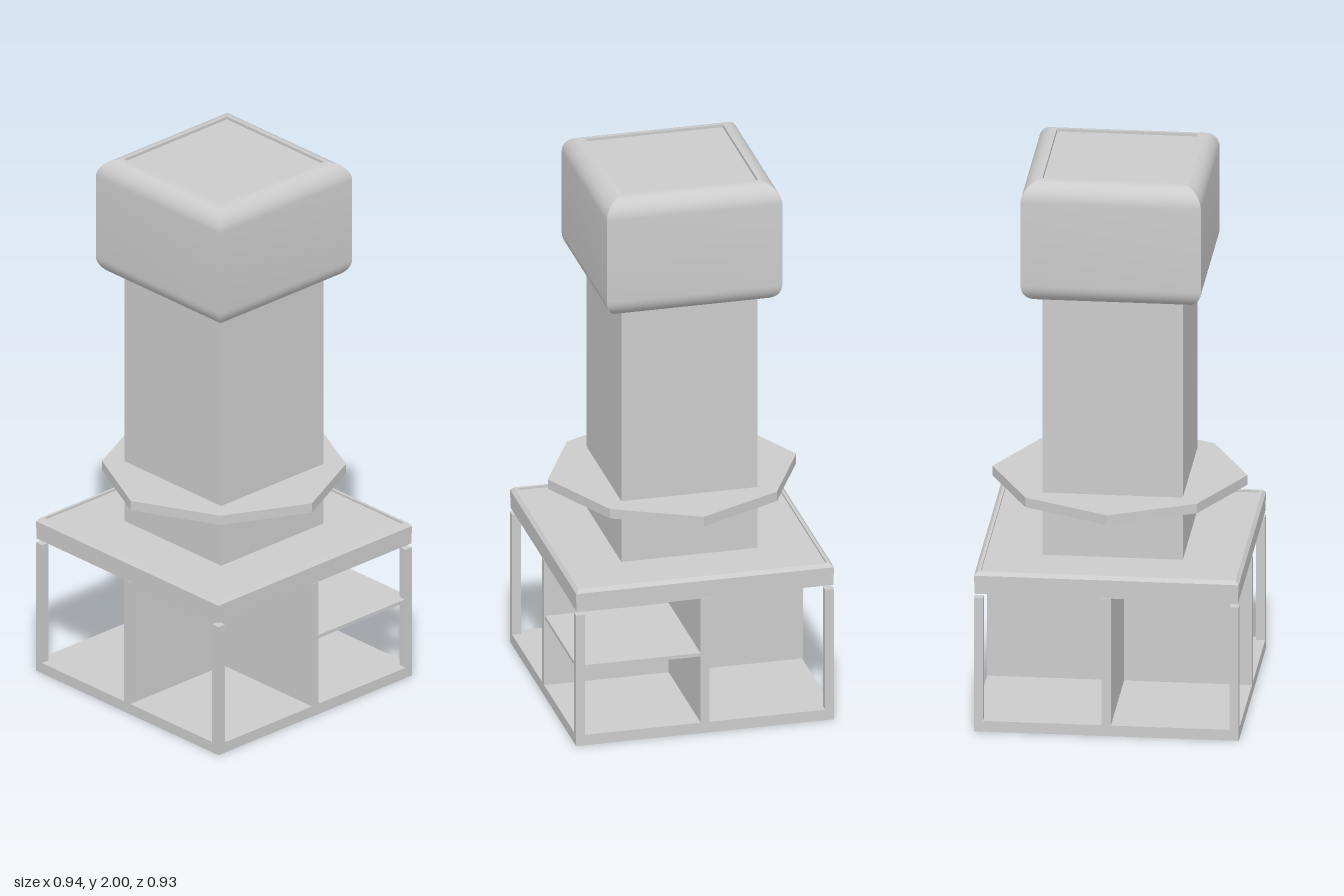
import * as THREE from 'three';
import { toCreasedNormals } from 'three/addons/utils/BufferGeometryUtils.js';

export function createModel() {
  const group = new THREE.Group();
  const mat = new THREE.MeshStandardMaterial({ color: 0xcccccc });

  const add = (name, geometry) => {
    const mesh = new THREE.Mesh(geometry, mat);
    mesh.name = name;
    group.add(mesh);
    return mesh;
  };

  // Box given by its limits on each axis
  const box = (name, x0, x1, y0, y1, z0, z1) =>
    add(name, new THREE.BoxGeometry(x1 - x0, y1 - y0, z1 - z0))
      .position.set((x0 + x1) / 2, (y0 + y1) / 2, (z0 + z1) / 2);

  // Square loft with mitred corners from [half width, height] points, bottom to top
  const squareLoft = (name, profile) => {
    const points = profile.map(([h, y]) => new THREE.Vector2(h * Math.SQRT2, y));
    const lathe = new THREE.LatheGeometry(points, 4, Math.PI / 4);
    lathe.deleteAttribute('uv');
    lathe.deleteAttribute('normal');
    return add(name, toCreasedNormals(lathe, 0.25));
  };

  const W = 0.467; // half width of the base
  const P = 0.032; // post thickness
  const T = 0.016; // half thickness of the dividers

  // Base cabinet: floor, corner posts, crossed dividers, one shelf
  box('floor', -W, W, 0, 0.04, -W, W);
  for (const sx of [-1, 1]) {
    for (const sz of [-1, 1]) {
      const post = add('cornerPost', new THREE.BoxGeometry(P, 0.46, P));
      post.position.set(sx * (W - P / 2), 0.27, sz * (W - P / 2));
    }
  }
  box('sideDivider', -W - 0.003, W, 0.04, 0.516, -T, T);
  box('frontDivider', -T, T, 0.04, 0.516, -W, W);
  box('shelf', T, W - 0.003, 0.293, 0.306, -W + 0.003, -T);

  // Table top in two layers, the upper one chamfered with a sunken panel
  box('lowerTop', -W + 0.002, W - 0.002, 0.515, 0.555, -W + 0.002, W - 0.002);
  squareLoft('upperTop', [
    [0, 0.555], [W, 0.555], [W, 0.583], [0.455, 0.596],
    [0.445, 0.596], [0.445, 0.588], [0, 0.588],
  ]);

  // Square column running from under the table top into the head
  box('column', -0.247, 0.247, 0.5, 1.99, -0.247, 0.247);

  // Eight-sided collar
  const collar = new THREE.Shape();
  for (let i = 0; i < 8; i++) {
    const a = (i * Math.PI) / 4;
    const r = i % 2 ? 0.428 : 0.45;
    const x = r * Math.cos(a), y = r * Math.sin(a);
    if (i) collar.lineTo(x, y); else collar.moveTo(x, y);
  }
  collar.closePath();
  const collarMesh = add('collar',
    new THREE.ExtrudeGeometry(collar, { depth: 0.036, bevelEnabled: false }));
  collarMesh.rotation.x = -Math.PI / 2;
  collarMesh.position.y = 0.785;

  // Head: rounded band around the column top
  const H = 0.318, R = 0.07, N = 10;
  const band = [[0.24, 1.55]];
  for (const [cy, start] of [[1.55 + R, -Math.PI / 2], [2 - R, 0]]) {
    for (let i = 0; i <= N; i++) {
      const a = start + (i / N) * Math.PI / 2;
      band.push([H - R + R * Math.cos(a), cy + R * Math.sin(a)]);
    }
  }
  band.push([H - R, 1.985]);
  squareLoft('head', band);

  return group;
}
